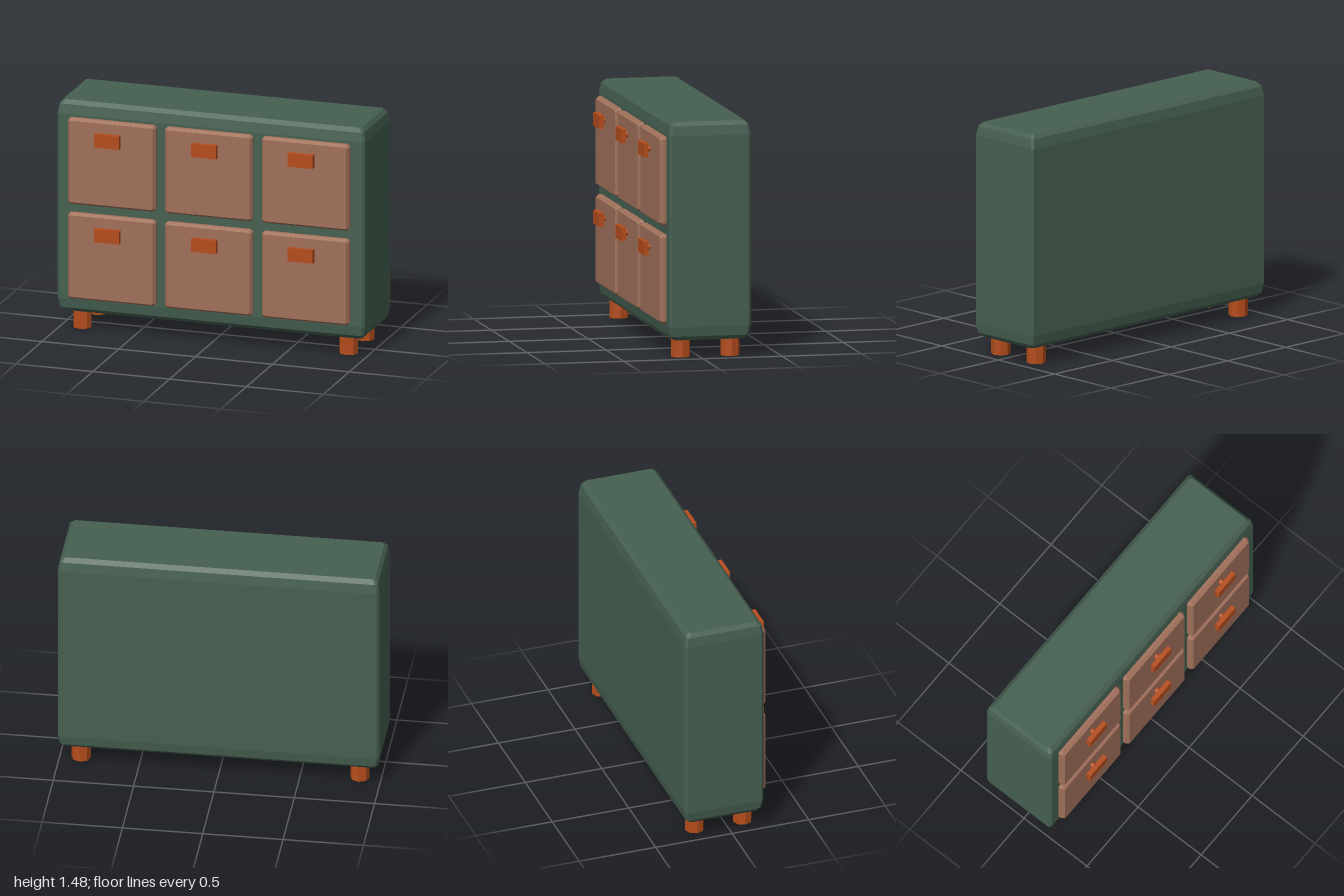
import * as THREE from 'three';

const material = (color) => new THREE.MeshStandardMaterial({ color, flatShading: true });

// Lofts chamfered rectangles [y, halfX, zBack, zFront] from bottom to top.
function loftBody(rings, c) {
  const pos = [];
  const index = [];
  for (const [y, x, b, f] of rings) {
    const corners = [
      [x - c, f], [x, f - c], [x, b + c], [x - c, b],
      [-x + c, b], [-x, b + c], [-x, f - c], [-x + c, f],
    ];
    for (const [px, pz] of corners) pos.push(px, y, pz);
  }
  const n = 8;
  for (let r = 0; r < rings.length - 1; r++) {
    for (let i = 0; i < n; i++) {
      const a = r * n + i;
      const b = r * n + (i + 1) % n;
      index.push(a, b, b + n, a, b + n, a + n);
    }
  }
  const top = (rings.length - 1) * n;
  for (let i = 1; i < n - 1; i++) {
    index.push(0, i + 1, i); // underside
    index.push(top, top + i, top + i + 1);
  }
  const g = new THREE.BufferGeometry();
  g.setAttribute('position', new THREE.Float32BufferAttribute(pos, 3));
  g.setIndex(index);
  const flat = g.toNonIndexed();
  flat.computeVertexNormals();
  return flat;
}

// Drawer front: clipped-corner panel with a one-step bevel.
function drawerGeometry(w, h) {
  const bevel = 0.015;
  const x = w / 2 - bevel;
  const y = h / 2 - bevel;
  const c = 0.006;
  const shape = new THREE.Shape([
    [x - c, -y], [x, -y + c], [x, y - c], [x - c, y],
    [-x + c, y], [-x, y - c], [-x, -y + c], [-x + c, -y],
  ].map(([px, py]) => new THREE.Vector2(px, py)));
  return new THREE.ExtrudeGeometry(shape, {
    depth: 0.045, bevelEnabled: true, bevelSize: bevel, bevelThickness: 0.02, bevelSegments: 1,
  });
}

export function createModel() {
  const model = new THREE.Group();
  model.name = 'chestOfDrawers';
  const green = material(0x466051);
  const brown = material(0xa0705a);
  const orange = material(0xb54d1c);

  const add = (parent, name, geometry, mat, x, y, z) => {
    const mesh = new THREE.Mesh(geometry, mat);
    mesh.name = name;
    mesh.position.set(x, y, z);
    parent.add(mesh);
    return mesh;
  };

  // Cabinet with softened edges
  add(model, 'cabinet', loftBody([
    [0.115, 0.97, -0.27, 0.175],
    [0.14, 0.99, -0.295, 0.2],
    [0.2, 1, -0.305, 0.21],
    [1.39, 1, -0.305, 0.21],
    [1.45, 0.99, -0.295, 0.2],
    [1.475, 0.97, -0.27, 0.175],
  ], 0.015), green, 0, 0, 0);

  // Six drawers, each with a plate handle on a short stem
  const panel = drawerGeometry(0.57, 0.555);
  const stem = new THREE.CylinderGeometry(0.018, 0.018, 0.05, 8).rotateX(Math.PI / 2);
  const plate = new THREE.BoxGeometry(0.163, 0.085, 0.03);
  for (const y of [0.488, 1.098]) {
    for (const x of [-0.635, -0.005, 0.625]) {
      const drawer = new THREE.Group();
      drawer.name = 'drawer';
      drawer.position.set(x, y, 0);
      model.add(drawer);
      add(drawer, 'drawerFront', panel, brown, 0, 0, 0.185);
      add(drawer, 'handleStem', stem, orange, -0.01, 0.165, 0.26);
      add(drawer, 'handlePlate', plate, orange, -0.01, 0.165, 0.29);
    }
  }

  // Four stubby legs
  const leg = new THREE.CylinderGeometry(0.06, 0.06, 0.14, 8);
  for (const x of [-0.867, 0.867]) {
    for (const z of [-0.2, 0.112]) add(model, 'leg', leg, orange, x, 0.07, z);
  }

  return model;
}
